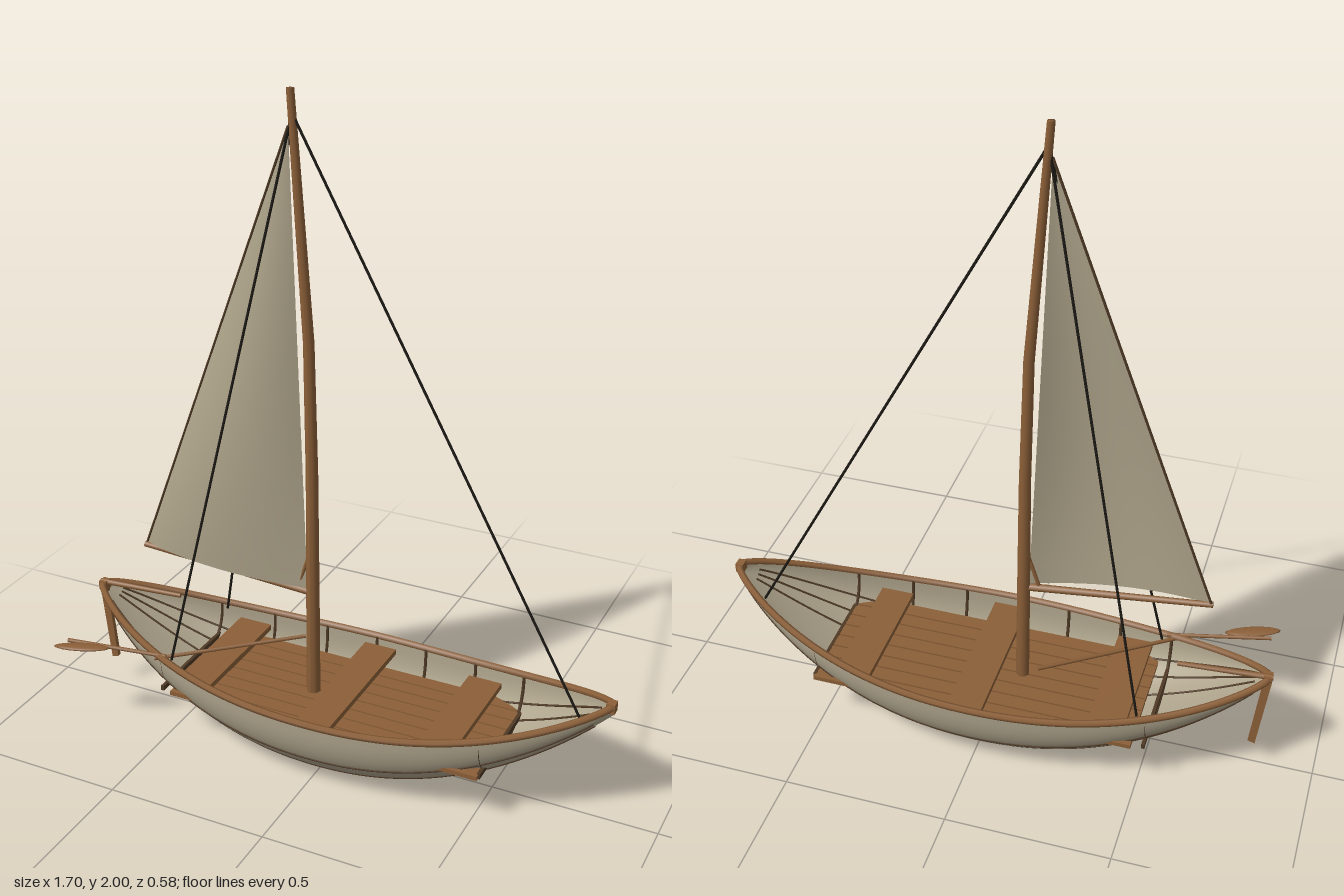
import * as THREE from 'three';

const V = (x, y, z) => new THREE.Vector3(x, y, z);
const mat = (name, color, side = THREE.FrontSide) => {
  const m = new THREE.MeshStandardMaterial({ color, side });
  m.name = name;
  return m;
};

// Hull rules: half length, sheer height, keel height and half beam along x
const L = 0.84, ZC = -0.01;
const sheer = x => 0.237 + (x < 0 ? 0.123 : 0.143) * Math.pow(Math.abs(x / L), 2.4);
const keel = x => 0.004 + 0.345 * Math.pow(Math.abs(x / L), 2.15);
const beam = x => 0.266 * Math.pow(Math.max(0, 1 - (x / L) ** 2), 0.75) + 0.004;

// Point on the hull skin; a runs 0 (one gunwale) .. PI (the other)
function hullPoint(x, a, scale = 1) {
  const e = 2 / 2.6, c = Math.cos(a), s = Math.max(0, Math.sin(a));
  const z = Math.sign(c) * Math.pow(Math.abs(c), e) * beam(x) * scale;
  const y = sheer(x) - Math.pow(s, e) * (sheer(x) - keel(x)) * scale;
  return V(x, y, z + ZC);
}

// Smooth surface from a grid of points f(u, v)
function surface(f, nu, nv) {
  const pos = [], idx = [];
  for (let i = 0; i <= nu; i++)
    for (let j = 0; j <= nv; j++) pos.push(...f(i / nu, j / nv).toArray());
  for (let i = 0; i < nu; i++)
    for (let j = 0; j < nv; j++) {
      const a = i * (nv + 1) + j, b = a + nv + 1;
      idx.push(a, a + 1, b, b, a + 1, b + 1);
    }
  const g = new THREE.BufferGeometry();
  g.setAttribute('position', new THREE.Float32BufferAttribute(pos, 3));
  g.setIndex(idx);
  g.computeVertexNormals();
  return g;
}

export function createModel() {
  const wood = mat('wood', 0x8b5f38);
  const darkWood = mat('dark wood', 0x4f3a25);
  const paint = mat('hull paint', 0xaea48c, THREE.DoubleSide);
  const canvas = mat('sail canvas', 0xaea48a, THREE.DoubleSide);
  const rope = mat('rope', 0x1c1914);

  const root = new THREE.Group();
  root.name = 'sailboat';
  const add = (name, geo, m, parent = root) => {
    const mesh = new THREE.Mesh(geo, m);
    mesh.name = name;
    parent.add(mesh);
    return mesh;
  };
  const box = (name, w, h, d, x, y, z, m = wood) =>
    add(name, new THREE.BoxGeometry(w, h, d), m).position.set(x, y, z);
  const tube = (name, pts, r, m, seg = 48) =>
    add(name, new THREE.TubeGeometry(new THREE.CatmullRomCurve3(pts), seg, r, 6), m);
  const rod = (name, a, b, r0, r1, m) => {
    const d = b.clone().sub(a);
    const mesh = add(name, new THREE.CylinderGeometry(r1, r0, d.length(), 8), m);
    mesh.position.copy(a).add(b).multiplyScalar(0.5);
    mesh.quaternion.setFromUnitVectors(V(0, 1, 0), d.normalize());
    return mesh;
  };
  const along = (a, scale, end, n = 32) =>
    Array.from({ length: n + 1 }, (_, i) => hullPoint(-end * Math.cos((i / n) * Math.PI), a, scale));

  // Hull shell
  add('hull', surface((u, v) => hullPoint(-L * Math.cos(u * Math.PI), v * Math.PI), 48, 32), paint);

  // Gunwales and plank seams on both sides
  for (const side of [0, 1]) {
    const at = a => (side ? Math.PI - a : a);
    tube('gunwale', along(at(0), 1, L), 0.011, wood, 80);
    for (const a of [0.51, 0.88, 1.25]) tube('plankSeam', along(at(a), 1, L * 0.95), 0.0035, darkWood, 64);
  }
  for (const s of [-1, 1]) box('stemCap', 0.025, 0.03, 0.03, s * 0.835, sheer(s * L) - 0.005, ZC);

  // Ribs inside the shell
  for (const x of [-0.515, -0.345, -0.17, 0, 0.17, 0.345, 0.515]) {
    const pts = Array.from({ length: 17 }, (_, i) => hullPoint(x, (i / 16) * Math.PI, 0.975));
    tube('rib', pts, 0.005, darkWood);
  }

  // Floor planks, with beams at both ends
  for (let i = 0; i < 8; i++) box('floorPlank', 1.0, 0.014, 0.046, 0.02, 0.165, ZC + (i - 3.5) * 0.0515);
  for (const x of [-0.515, 0.52]) box('floorBeam', 0.01, 0.016, 0.38, x, 0.165, ZC, darkWood);

  // Thwarts
  box('middleSeat', 0.105, 0.018, 0.49, 0.02, 0.21, ZC);
  box('bowSeat', 0.105, 0.018, 0.4, 0.388, 0.215, ZC);
  box('sternSeat', 0.11, 0.018, 0.4, -0.4, 0.215, ZC);

  // Mast: tapered pole whose upper part leans aft
  const profile = [[0, 0.16], [0.021, 0.16], [0.02, 0.5], [0.018, 0.9], [0.016, 1.3], [0.014, 1.6], [0.011, 2], [0, 2]];
  const mast = new THREE.LatheGeometry(profile.map(p => new THREE.Vector2(...p)), 12);
  const p = mast.attributes.position;
  const lean = y => -0.09 - 0.055 * Math.max(0, (y - 1.2) / 0.8);
  for (let i = 0; i < p.count; i++) p.setX(i, p.getX(i) + lean(p.getY(i)));
  mast.computeVertexNormals();
  add('mast', mast, wood).position.z = -0.005;

  // Boom and its brace
  const tack = V(-0.105, 0.525, 0), clew = V(-0.645, 0.565, 0.022), head = V(-0.15, 1.9, 0);
  rod('boom', V(-0.075, 0.512, -0.004), V(-0.65, 0.56, 0.025), 0.012, 0.009, wood);
  rod('boomBrace', V(-0.135, 0.525, 0), V(-0.092, 0.66, 0), 0.006, 0.006, wood);

  // Sail with a belly to the front, edged with a dark hem
  const sailPoint = (u, v) => {
    const q = tack.clone().lerp(clew, u).lerp(head, v);
    q.z += 0.21 * u * (1 - u) * Math.pow(1 - v, 0.8) * (0.45 + 0.8 * Math.sin(Math.PI * Math.min(1, v + 0.08)));
    return q;
  };
  add('sail', surface((u, v) => sailPoint(u, v), 14, 24), canvas);
  rod('sailHem', clew, head, 0.004, 0.004, darkWood);

  // Rigging
  const top = V(-0.14, 1.935, -0.004);
  rod('forestay', top, V(0.76, 0.265, -0.028), 0.004, 0.004, rope);
  for (const z of [-0.182, 0.165]) rod('shroud', top, V(-0.487, 0.265, z), 0.004, 0.004, rope);

  // Rudder and tiller
  const rudder = new THREE.Shape([[-0.85, 0.365], [-0.825, 0.365], [-0.798, 0.1], [-0.82, 0.093]].map(q => new THREE.Vector2(...q)));
  add('rudder', new THREE.ExtrudeGeometry(rudder, { depth: 0.014, bevelEnabled: false }), wood).position.z = ZC - 0.007;
  rod('tiller', V(-0.85, 0.363, -0.01), V(-0.57, 0.365, 0.04 - 0.075), 0.009, 0.007, wood);

  // Oar resting over the gunwale
  rod('oarHandle', V(-0.165, 0.29, 0.1 - 0.2), V(-0.535, 0.268, 0.185), 0.006, 0.006, wood);
  rod('oarShaft', V(-0.5, 0.28, 0.175), V(-0.81, 0.291, 0.24), 0.006, 0.006, wood);
  const blade = add('oarBlade', new THREE.SphereGeometry(1, 16, 8), wood);
  blade.scale.set(0.087, 0.007, 0.022);
  blade.position.set(-0.75, 0.29, 0.255);
  blade.rotation.y = 0.36;

  return root;
}
